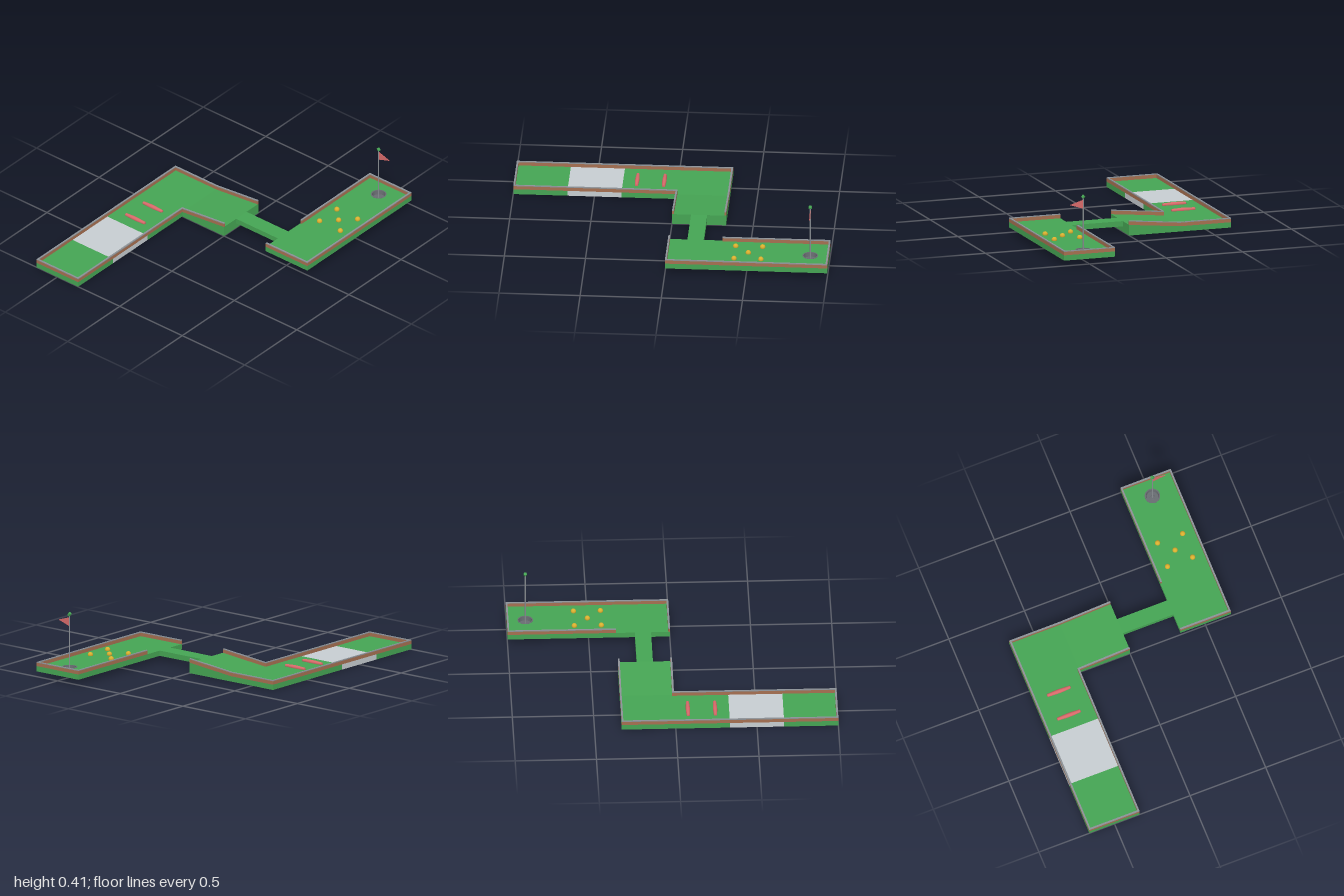
import * as THREE from 'three';

const T = 1 / 3;          // tile size
const H = 1 / 30;         // slab thickness and rise of the ramp
const W = 0.011;          // kerb thickness
const BRICK = 0.0215, CAP = 0.005;

export function createModel() {
  const model = new THREE.Group();
  model.name = 'miniGolfCourse';
  const mat = (name, color) => {
    const m = new THREE.MeshStandardMaterial({ color });
    m.name = name;
    return m;
  };
  const grass = mat('grass green', 0x45a453);
  const sand = mat('pale grey', 0xc6ccd0);
  const wood = mat('wood brown', 0xa56f50);
  const grey = mat('kerb grey', 0x8c9196);
  const dark = mat('cup grey', 0x686c71);
  const red = mat('flag red', 0xd86a6a);
  const gold = mat('gold', 0xd9b02f);

  const add = (name, geo, material, x = 0, y = 0, z = 0, parent = model) => {
    const m = new THREE.Mesh(geo, material);
    m.name = name;
    m.position.set(x, y, z);
    parent.add(m);
    return m;
  };

  // Box between limits; topRise / bottomRise lift its +x end into a slope
  const block = (name, material, [x0, x1], [y0, y1], [z0, z1], topRise = 0, bottomRise = 0) => {
    const geo = new THREE.BoxGeometry(x1 - x0, y1 - y0, z1 - z0);
    geo.translate((x0 + x1) / 2, (y0 + y1) / 2, (z0 + z1) / 2);
    const p = geo.attributes.position, mid = (y0 + y1) / 2;
    for (let i = 0; i < p.count; i++) {
      if (p.getX(i) > (x0 + x1) / 2) {
        p.setY(i, p.getY(i) + (p.getY(i) > mid ? topRise : bottomRise));
      }
    }
    geo.computeVertexNormals();
    return add(name, geo, material);
  };

  // Wooden kerb with a grey cap
  const kerb = (name, xs, zs, y, rise = 0) => {
    block(name, wood, xs, [y, y + BRICK], zs, rise, rise);
    block(name + 'Cap', grey, xs, [y + BRICK, y + BRICK + CAP], zs, rise, rise);
  };

  // Lower lane, with the sand tile in the middle
  block('startTile', grass, [-2 * T, -T], [0, H], [2 * T, 1]);
  block('sandTile', sand, [-2 * T, -T], [0, H], [T, 2 * T]);
  block('bumpTile', grass, [-2 * T, -T], [0, H], [0, T]);
  block('cornerTile', grass, [-2 * T, -T], [0, H], [-T, 0]);
  kerb('outerKerb', [-2 * T, -2 * T + W], [-T, 1], H);
  kerb('innerKerb', [-T - W, -T], [-W, 1], H);
  kerb('startKerb', [-2 * T + W, -T - W], [1 - W, 1], H);
  kerb('cornerKerb', [-2 * T + W, -T], [-T, -T + W], H);

  // Ramp and narrow bridge
  block('ramp', grass, [-T, 0], [0, H], [-T, 0], H);
  kerb('rampBackKerb', [-T, 0], [-T, -T + W], H, H);
  kerb('rampFrontKerb', [-T, 0], [-W, 0], H, H);
  block('bridge', grass, [0, T], [H, 2 * H], [-0.217, -0.117]);

  // Upper lane: thin base under a slab pierced by the cup
  const cupX = 0.5, cupZ = -0.885, cupR = 0.046, base = 0.006;
  block('upperLaneBase', grass, [T, 2 * T], [H, H + base], [-1, 0]);
  const deck = new THREE.Shape();
  deck.moveTo(T, 0).lineTo(2 * T, 0).lineTo(2 * T, 1).lineTo(T, 1).closePath();
  deck.holes.push(new THREE.Path().absarc(cupX, -cupZ, cupR, 0, Math.PI * 2, true));
  const deckGeo = new THREE.ExtrudeGeometry(deck, { depth: H - base, bevelEnabled: false, curveSegments: 12 });
  deckGeo.rotateX(-Math.PI / 2);
  add('upperLane', deckGeo, grass, 0, H + base, 0);
  kerb('upperLeftKerb', [2 * T - W, 2 * T], [-1, 0], 2 * H);
  kerb('upperRightKerb', [T, T + W], [-1, -T], 2 * H);
  kerb('upperBackKerb', [T + W, 2 * T - W], [-1, -1 + W], 2 * H);
  kerb('upperFrontKerb', [T, 2 * T - W], [-W, 0], 2 * H);

  // Cup liner with a rim and a pole socket
  const liner = [[0, 0.009], [0.015, 0.009], [0.017, 0.007], [0.038, 0.007], [0.041, H + 0.001], [0.048, H + 0.001], [0.048, H]]
    .map(([r, y]) => new THREE.Vector2(r, y));
  const cupMat = dark;
  cupMat.side = THREE.DoubleSide;
  cupMat.flatShading = true;
  add('cup', new THREE.LatheGeometry(liner, 24), cupMat, cupX, H, cupZ);

  // Flagpole, pennant and finial
  const flag = new THREE.Group();
  flag.name = 'flag';
  flag.position.set(cupX, 0, cupZ);
  model.add(flag);
  add('pole', new THREE.CylinderGeometry(0.0035, 0.0035, 0.35, 10), grey, 0, 0.217, 0, flag);
  const pennant = new THREE.Shape();
  pennant.moveTo(0.002, 0.325).lineTo(0.087, 0.353).lineTo(0.002, 0.38).closePath();
  add('pennant', new THREE.ExtrudeGeometry(pennant, { depth: 0.003, bevelEnabled: false }), red, 0, 0, -0.0015, flag);
  const finial = add('finial', new THREE.CylinderGeometry(0.01, 0.01, 0.019, 10), grass, 0, 0.4, 0, flag);
  finial.rotation.z = 0.65;

  // Red rounded bumps across the lower lane
  const bumpProfile = [[0, -0.077], [0.008, -0.077], [0.01, -0.074], [0.0135, -0.015], [0.0135, 0.015], [0.01, 0.074], [0.008, 0.077], [0, 0.077]]
    .map(([r, y]) => new THREE.Vector2(r, y));
  for (const z of [0.08, 0.247]) {
    const bump = add('bump', new THREE.LatheGeometry(bumpProfile, 12), red, -0.503, H + 0.004, z);
    bump.rotation.z = Math.PI / 2;
  }

  // Gold ball obstacles in a five-spot pattern
  for (const [dx, dz] of [[-1, -1], [1, -1], [0, 0], [-1, 1], [1, 1]]) {
    add('ballObstacle', new THREE.SphereGeometry(0.017, 14, 10), gold, 0.498 + dx * 0.083, 2 * H + 0.006, -0.503 + dz * 0.083);
  }
  return model;
}
